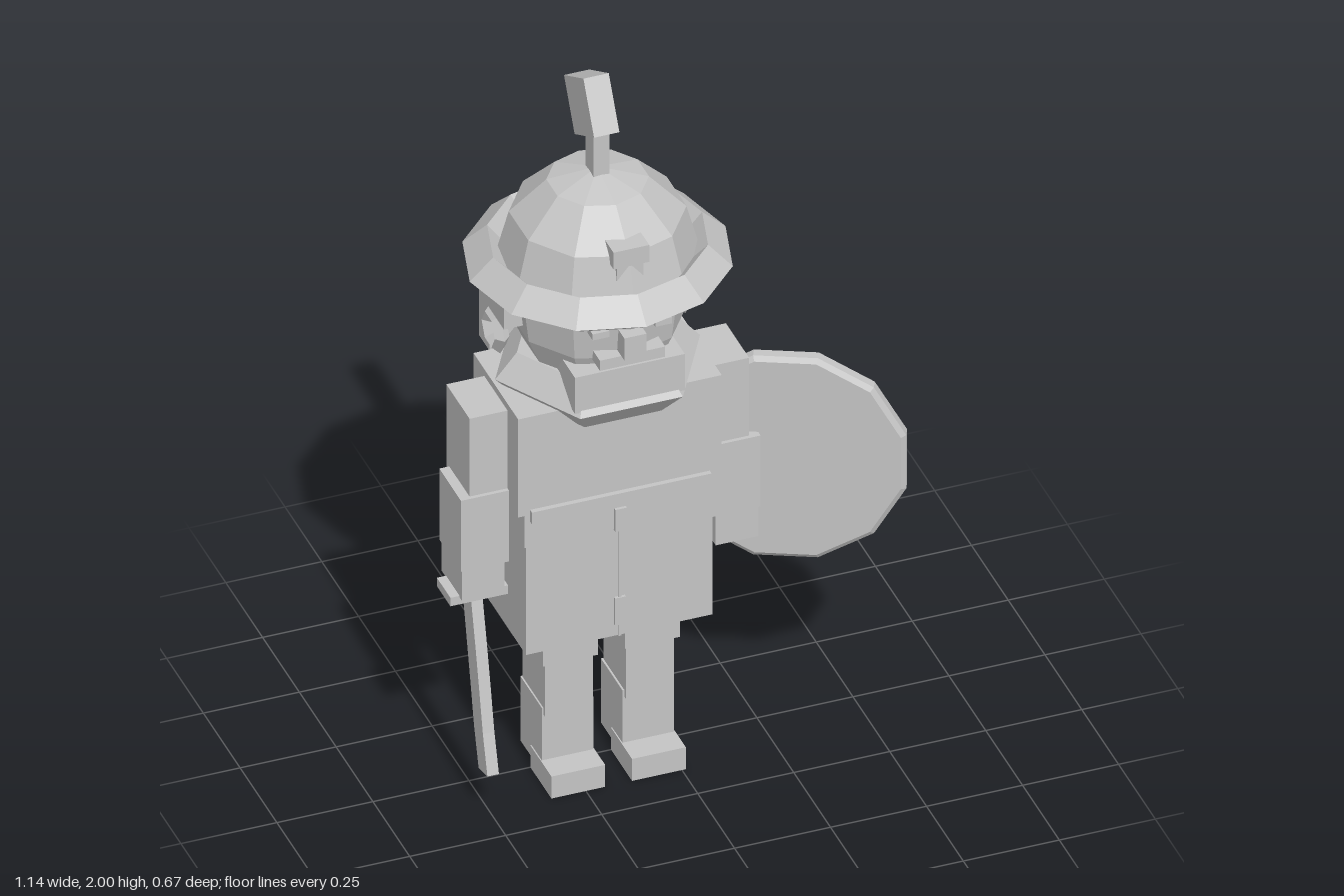
import * as THREE from 'three';

const MID = -0.165; // centre line of the figure

export function createModel() {
  const model = new THREE.Group();
  const stone = new THREE.MeshStandardMaterial({ color: 0xc4c4c4, flatShading: true });
  stone.name = 'stoneGrey';

  const add = (name, geometry, parent = model) => {
    const mesh = new THREE.Mesh(geometry, stone);
    mesh.name = name;
    parent.add(mesh);
    return mesh;
  };
  // Box given by its limits on each axis
  const box = (name, x0, x1, y0, y1, z0, z1, parent) => {
    const g = new THREE.BoxGeometry(x1 - x0, y1 - y0, z1 - z0);
    g.translate((x0 + x1) / 2, (y0 + y1) / 2, (z0 + z1) / 2);
    return add(name, g, parent);
  };
  // Box centred on the figure's centre line
  const midBox = (name, w, ...limits) => box(name, MID - w / 2, MID + w / 2, ...limits);
  const lathe = (points, sides, start = 0) =>
    new THREE.LatheGeometry(points.map(([r, y]) => new THREE.Vector2(r, y)), sides, start);
  const midLathe = (name, ...args) => { add(name, lathe(...args)).position.x = MID; };

  // Legs, boots, arms and ears, once per side
  for (const s of [-1, 1]) {
    const side = s < 0 ? 'right' : 'left';
    const pair = (name, a, b, ...limits) =>
      box(side + name, MID + Math.min(s * a, s * b), MID + Math.max(s * a, s * b), ...limits);
    pair('Hip', 0.035, 0.178, 0.36, 0.46, -0.075, 0.095);
    pair('Thigh', 0.043, 0.168, 0.2, 0.4, -0.072, 0.08);
    pair('Shin', 0.038, 0.172, 0.03, 0.22, -0.076, 0.07);
    pair('Foot', 0.035, 0.175, 0, 0.065, 0, 0.143);
    pair('UpperArm', 0.262, 0.364, 0.82, 1.13, -0.078, 0.08);
    pair('Forearm', 0.265, 0.39, 0.69, 0.9, -0.058, 0.09);
    pair('Hand', 0.275, 0.386, 0.6, 0.7, -0.054, 0.085);
    pair('Ear', 0.2, 0.258, 1.34, 1.415, -0.068, 0.037);
    pair('Eye', 0.06, 0.103, 1.398, 1.416, 0.2, 0.236);

    // Six-sided ring hanging from the ear
    const ring = add(side + 'Earring', new THREE.TorusGeometry(0.045, 0.019, 4, 6));
    ring.rotation.set(0, Math.PI / 2, 0);
    ring.position.set(MID + s * 0.241, 1.275, -0.065);
  }

  // Tunic, belt and skirt
  midBox('chest', 0.53, 0.86, 1.15, -0.152, 0.152);
  midBox('waist', 0.496, 0.765, 0.862, -0.146, 0.152);
  midBox('skirt', 0.486, 0.445, 0.77, -0.14, 0.148);
  midBox('belt', 0.468, 0.84, 0.875, -0.158, 0.165);
  midBox('buckle', 0.03, 0.76, 0.825, 0.14, 0.16);
  midBox('skirtTie', 0.028, 0.48, 0.56, 0.14, 0.156);
  midBox('skirtSeam', 0.008, 0.445, 0.76, 0.14, 0.153);

  // Collar
  midLathe('collar', [[0, 1.1], [0.2, 1.1], [0.267, 1.17], [0.21, 1.237], [0, 1.237]], 6, Math.PI / 2);

  // Head and face
  midLathe('head', [[0, 1.23], [0.18, 1.23], [0.215, 1.31], [0.23, 1.42], [0.23, 1.5]], 10);
  midBox('nose', 0.058, 1.335, 1.4, 0.2, 0.258);
  midBox('moustache', 0.17, 1.305, 1.335, 0.18, 0.238);
  midBox('beard', 0.286, 1.18, 1.287, 0.1, 0.22);

  // Helmet dome: upper half of a sphere
  const dome = [90, 60, 30, 0].map((deg) => {
    const a = THREE.MathUtils.degToRad(deg);
    return [0.25 * Math.sin(a), 1.485 + 0.25 * Math.cos(a)];
  });
  midLathe('helmetDome', dome, 10);
  midLathe('helmetBrim', [[0.22, 1.476], [0.25, 1.418], [0.333, 1.476], [0.272, 1.533], [0.22, 1.476]], 12);
  midBox('neckGuard', 0.44, 1.14, 1.45, -0.232, -0.162);

  // Front badge with a raised upper edge
  midBox('badge', 0.07, 1.5, 1.6, 0.17, 0.222);
  midBox('badgeTop', 0.093, 1.59, 1.64, 0.17, 0.23);

  // Plume on its post
  midBox('plumePost', 0.042, 1.7, 1.87, -0.026, 0.027);
  const plume = add('plume', new THREE.BoxGeometry(0.066, 0.147, 0.152));
  plume.position.set(MID, 1.895, -0.04);
  plume.rotation.x = -0.515;

  // Curved sword in the right hand
  const sword = new THREE.Group();
  sword.name = 'sword';
  model.add(sword);
  box('swordGuard', -0.575, -0.425, 0.58, 0.605, -0.022, 0.07, sword);
  const spine = [[0.02, 0.59], [0.055, 0.44], [0.078, 0.34], [0.104, 0.22], [0.135, 0.115]];
  const edge = (d) => spine.map(([z, y], i) => new THREE.Vector2(z + d, y + (d > 0 ? 0.008 : -0.005) * (i > 0)));
  const outline = new THREE.Shape([...edge(0.03), ...edge(-0.03).reverse()]);
  const blade = new THREE.ExtrudeGeometry(outline, { depth: 0.03, bevelEnabled: false });
  blade.rotateY(-Math.PI / 2); // drawn z to +z, depth to -x
  blade.translate(-0.485, 0, 0);
  add('swordBlade', blade, sword);

  // Round shield on the left arm, turned outwards
  const shield = new THREE.Group();
  shield.name = 'shield';
  shield.position.set(0.295, 0.825, 0.08);
  shield.rotation.y = -0.445;
  model.add(shield);
  const disc = lathe([[0, -0.02], [0.287, -0.02], [0.305, -0.01], [0.305, 0.015], [0.292, 0.024], [0, 0.024]], 12, Math.PI / 12);
  disc.rotateX(Math.PI / 2);
  add('shieldDisc', disc, shield);

  return model;
}
